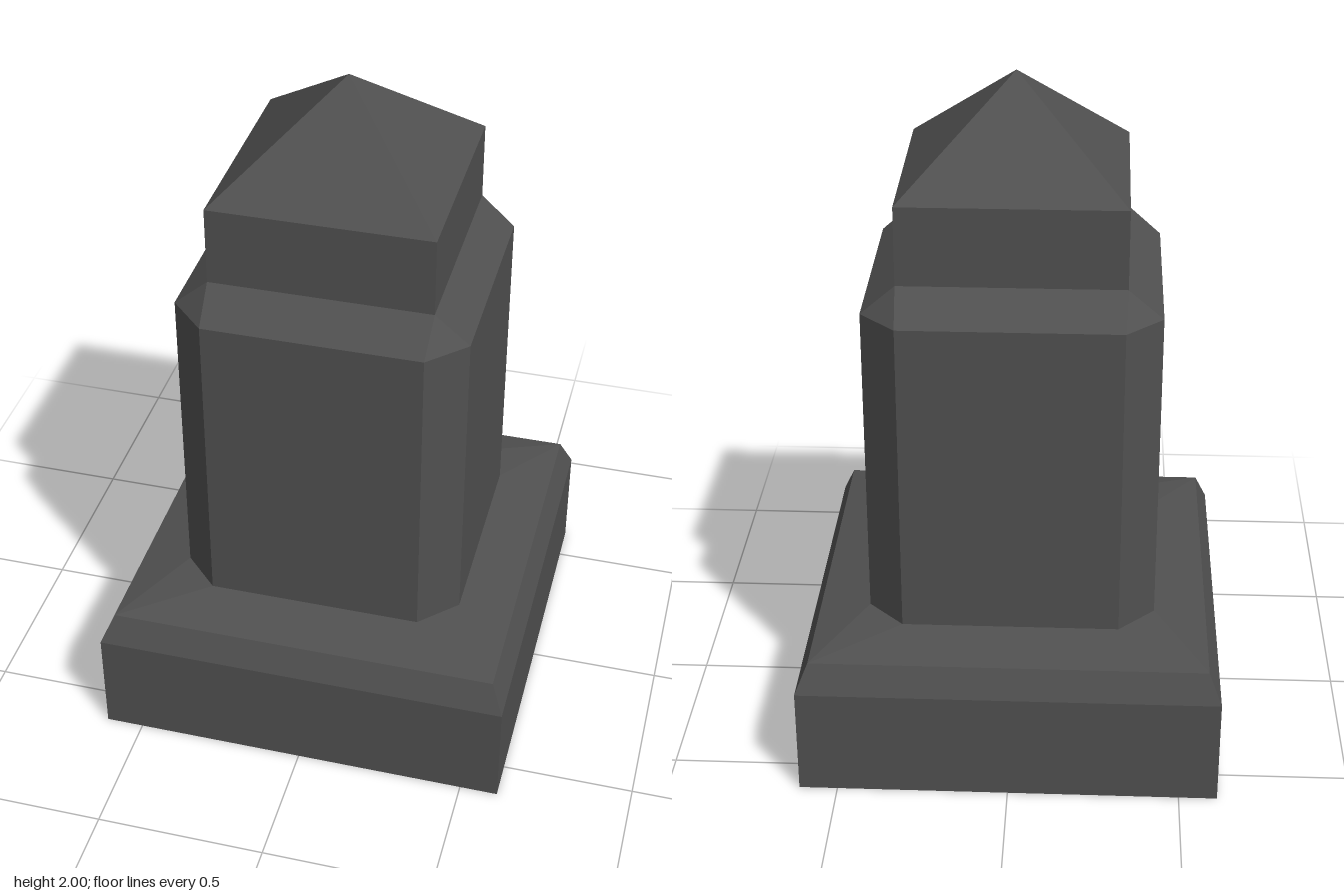
import * as THREE from 'three';

const stone = new THREE.MeshStandardMaterial({ color: 0x505050 });
stone.name = 'darkStone';
stone.flatShading = true;

// Square ring of half width h with corners cut by c, running from +z towards +x
function ring([y, h, c = 0]) {
  const k = h - c;
  return [[-k, h], [k, h], [h, k], [h, -k], [k, -h], [-k, -h], [-h, -k], [-h, k]]
    .map(([x, z]) => new THREE.Vector3(x, y, z));
}

// Faceted skin through a stack of rings [y, halfWidth, cornerCut]
function loft(name, levels) {
  const points = [];
  const tri = new THREE.Triangle();
  const add = (a, b, c) => {
    if (tri.set(a, b, c).getArea() > 1e-7) points.push(a, b, c);
  };
  const rings = levels.map(ring);
  for (let r = 0; r < rings.length - 1; r++) {
    const low = rings[r], high = rings[r + 1];
    for (let i = 0; i < 8; i++) {
      const j = (i + 1) % 8;
      add(low[i], low[j], high[j]);
      add(low[i], high[j], high[i]);
    }
  }
  const geometry = new THREE.BufferGeometry().setFromPoints(points);
  geometry.computeVertexNormals();
  const mesh = new THREE.Mesh(geometry, stone);
  mesh.name = name;
  return mesh;
}

export function createModel() {
  const group = new THREE.Group();
  group.name = 'stoneBollard';
  group.add(
    // Square plinth with bevelled rim, closed underneath
    loft('plinth', [[0, 0], [0, 0.612], [0.325, 0.612], [0.412, 0.575]]),
    // Shallow slope from the plinth up to the shaft
    loft('plinthSlope', [[0.412, 0.575], [0.452, 0.42, 0.105]]),
    // Shaft with chamfered corners
    loft('shaft', [[0.452, 0.42, 0.105], [1.395, 0.42, 0.105]]),
    // Shoulder narrowing to the square neck
    loft('shoulder', [[1.395, 0.42, 0.105], [1.483, 0.32]]),
    loft('neck', [[1.483, 0.32], [1.713, 0.32]]),
    // Pyramid top
    loft('pyramidCap', [[1.713, 0.32], [2, 0]])
  );
  return group;
}
